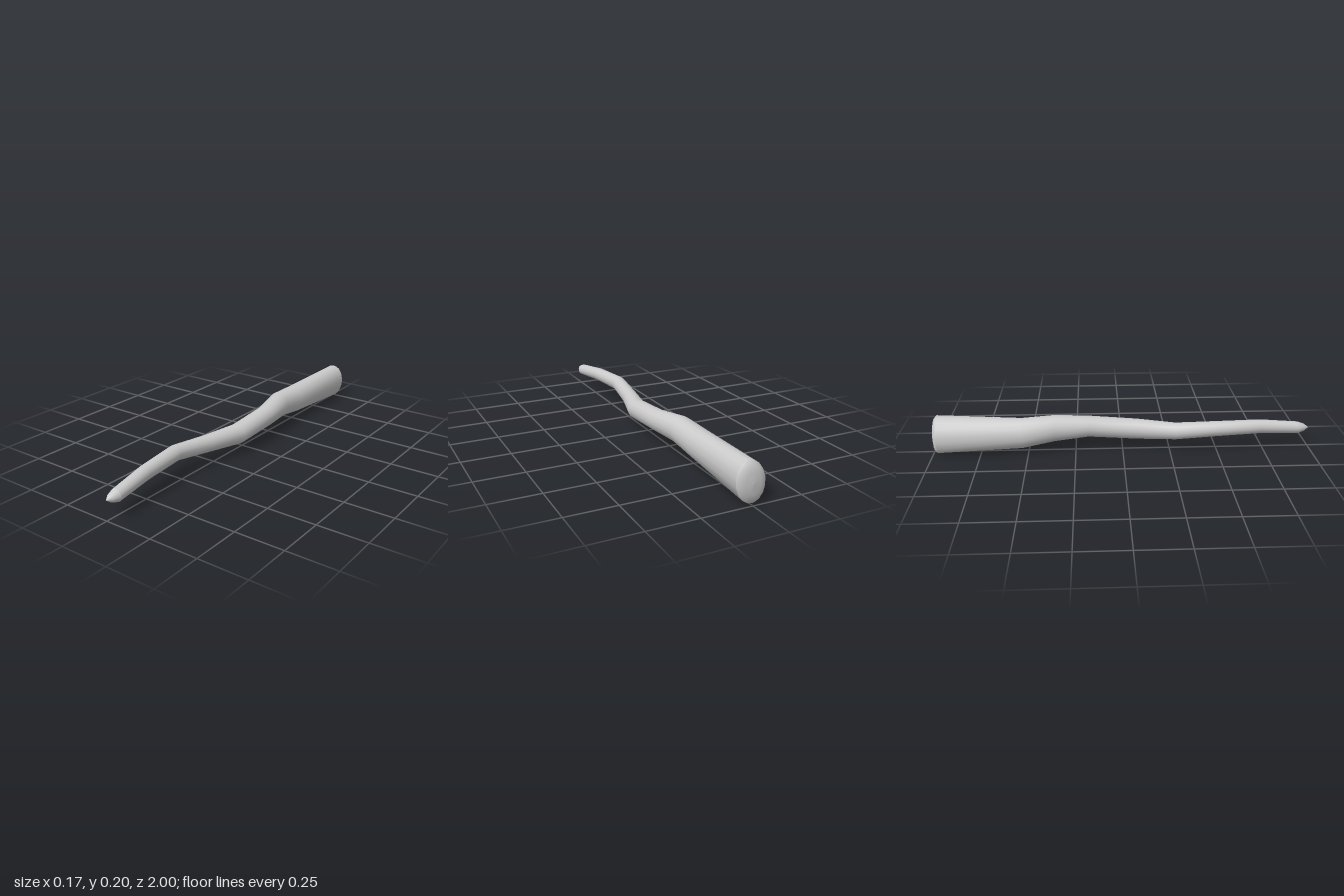
import * as THREE from 'three';

const SIDES = 16;

// Skin elliptical rings [z, x, y, halfWidth, halfHeight, tilt], ordered from back to front
function loft(name, rings, material) {
  const pos = [], index = [];
  for (const [z, cx, cy, w, h, tilt] of rings) {
    // half-axes chosen so the tilted oval keeps roughly the given extents
    const c = Math.cos(tilt), s = Math.sin(tilt);
    for (let j = 0; j < SIDES; j++) {
      const a = (j / SIDES) * Math.PI * 2;
      const u = w * Math.cos(a), v = h * Math.sin(a);
      pos.push(cx + u * c + v * s, cy - u * s + v * c, z);
    }
  }
  for (let i = 0; i < rings.length - 1; i++) {
    for (let j = 0; j < SIDES; j++) {
      const k = (j + 1) % SIDES;
      const a = i * SIDES + j, b = i * SIDES + k;
      index.push(a, b, a + SIDES, b, b + SIDES, a + SIDES);
    }
  }
  const geo = new THREE.BufferGeometry();
  geo.setAttribute('position', new THREE.Float32BufferAttribute(pos, 3));
  geo.setIndex(index);
  geo.computeVertexNormals();
  const mesh = new THREE.Mesh(geo, material);
  mesh.name = name;
  return mesh;
}

export function createModel() {
  const group = new THREE.Group();
  group.name = 'crookedWand';
  const material = new THREE.MeshStandardMaterial({ color: 0xcccccc });

  const butt = [-0.975, 0, 0.105, 0.073, 0.102, 0.2];
  const end = [0.94, 0.005, 0.107, 0.032, 0.032, 0];

  // Crooked shaft: thick oval handle narrowing through several bends
  group.add(loft('shaft', [
    butt,
    [-0.53, -0.015, 0.11, 0.069, 0.081, 0.2],
    [-0.36, -0.002, 0.13, 0.065, 0.07, 0.1],
    [-0.18, 0.029, 0.125, 0.056, 0.056, 0],
    [0.08, 0.027, 0.106, 0.053, 0.054, 0],
    [0.28, -0.02, 0.109, 0.043, 0.045, 0],
    [0.49, -0.045, 0.129, 0.04, 0.04, 0],
    [0.73, -0.018, 0.127, 0.036, 0.037, 0],
    end,
  ], material));

  // Shallow domed butt
  const scaled = (r, z, f) => [z, r[1], r[2], r[3] * f, r[4] * f, r[5]];
  group.add(loft('buttCap', [
    scaled(butt, -1, 0),
    scaled(butt, -0.997, 0.5),
    scaled(butt, -0.99, 0.84),
    butt,
  ], material));

  // Blunt pointed tip
  group.add(loft('tip', [
    end,
    scaled(end, 0.975, 0.62),
    scaled(end, 1, 0),
  ], material));

  return group;
}
